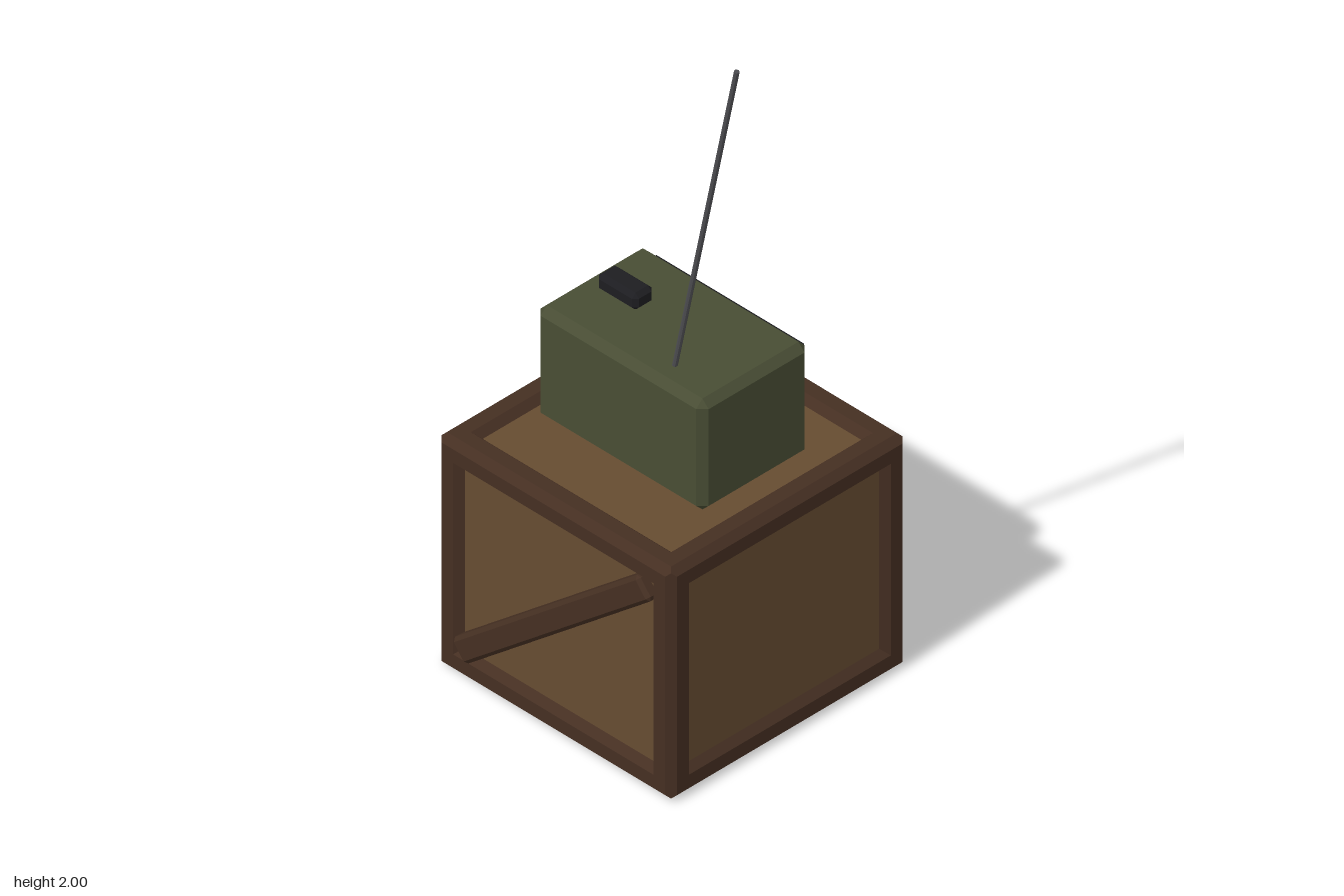
import * as THREE from 'three';
import { ConvexGeometry } from 'three/addons/geometries/ConvexGeometry.js';

const mat = (color) => new THREE.MeshStandardMaterial({ color, flatShading: true });
const frameMat = mat(0x452f22);
const panelMat = mat(0x664c31);
const bodyMat = mat(0x484d34);
const blackMat = mat(0x1d1d21);
const orangeMat = mat(0xb8742c);
const steelMat = mat(0x4c4c50);

function add(parent, name, geometry, material, x = 0, y = 0, z = 0) {
  const mesh = new THREE.Mesh(geometry, material);
  mesh.name = name;
  mesh.position.set(x, y, z);
  parent.add(mesh);
  return mesh;
}

// Box with every edge cut at 45 degrees by b
function chamferBox(w, h, d, b) {
  const pts = [];
  for (const sx of [-1, 1]) for (const sy of [-1, 1]) for (const sz of [-1, 1]) {
    for (let k = 0; k < 3; k++) {
      pts.push(new THREE.Vector3(
        sx * (w / 2 - (k === 0 ? 0 : b)),
        sy * (h / 2 - (k === 1 ? 0 : b)),
        sz * (d / 2 - (k === 2 ? 0 : b))));
    }
  }
  return new ConvexGeometry(pts);
}

// Nested rectangular rings facing +z; each step is [inset, level]
function ringGeometry(w, h, steps) {
  const signs = [[-1, -1], [1, -1], [1, 1], [-1, 1]];
  const corner = ([inset, level], i) => {
    const [sx, sy] = signs[i % 4];
    return [sx * (w / 2 - inset), sy * (h / 2 - inset), level];
  };
  const pos = [];
  for (let s = 0; s < steps.length - 1; s++) {
    for (let i = 0; i < 4; i++) {
      const a = corner(steps[s], i), b = corner(steps[s], i + 1);
      const c = corner(steps[s + 1], i + 1), d = corner(steps[s + 1], i);
      pos.push(...a, ...b, ...c, ...a, ...c, ...d);
    }
  }
  const g = new THREE.BufferGeometry();
  g.setAttribute('position', new THREE.Float32BufferAttribute(pos, 3));
  g.computeVertexNormals();
  return g;
}

// One crate side: half chamfer, flat frame, sloped recess and inner panel
function crateSide(name, w, h, dist) {
  const side = new THREE.Group();
  side.name = name;
  const depth = 0.02;
  add(side, 'crateFrame', ringGeometry(w, h, [[0.01, -0.01], [0.02, 0], [0.06, 0], [0.08, -depth]]),
    frameMat, 0, 0, dist);
  add(side, 'cratePanel', new THREE.PlaneGeometry(w - 0.16, h - 0.16), panelMat, 0, 0, dist - depth);
  return side;
}

function createCrate() {
  const crate = new THREE.Group();
  crate.name = 'crate';
  const W = 0.8, H = 0.69;
  ['Front', 'Left', 'Back', 'Right'].forEach((label, i) => {
    const side = crateSide('crate' + label, W, H, W / 2);
    side.rotation.y = i * Math.PI / 2;
    // Diagonal board on the front and back
    if (i % 2 === 0) {
      const brace = add(side, 'diagonalBrace', chamferBox(0.82, 0.072, 0.05, 0.01), frameMat, 0, 0, 0.387);
      brace.rotation.z = 0.69;
    }
    crate.add(side);
  });
  for (const s of [1, -1]) {
    const side = crateSide(s > 0 ? 'crateTop' : 'crateBottom', W, W, H / 2);
    side.rotation.x = -s * Math.PI / 2;
    crate.add(side);
  }
  crate.position.y = H / 2;
  return crate;
}

function createRadio() {
  const radio = new THREE.Group();
  radio.name = 'radio';
  add(radio, 'radioBody', chamferBox(0.57, 0.33, 0.365, 0.021), bodyMat, 0, 0.849, -0.002);
  add(radio, 'handle', chamferBox(0.136, 0.05, 0.066, 0.012), blackMat, -0.162, 1.035, -0.003);

  // Controls on the back panel
  add(radio, 'trimStrip', new THREE.BoxGeometry(0.5, 0.035, 0.02), blackMat, 0, 0.967, -0.186);
  add(radio, 'display', new THREE.BoxGeometry(0.165, 0.09, 0.02), orangeMat, 0.157, 0.833, -0.187);
  for (let i = 0; i < 4; i++) {
    add(radio, 'speakerSlat', new THREE.BoxGeometry(0.15, 0.013, 0.015), blackMat, 0.15, 0.773 - i * 0.025, -0.186);
  }
  for (const x of [-0.173, -0.058]) {
    const dial = add(radio, 'dial', new THREE.CylinderGeometry(0.038, 0.038, 0.035, 12), blackMat, x, 0.81, -0.195);
    dial.rotation.x = Math.PI / 2;
  }

  // Tilted antenna
  const base = new THREE.Vector3(0.12, 1.0, 0.112);
  const tip = new THREE.Vector3(0.333, 1.9985, 0.112);
  const antenna = add(radio, 'antenna', new THREE.CylinderGeometry(0.007, 0.007, base.distanceTo(tip), 8), steelMat);
  antenna.position.copy(base).lerp(tip, 0.5);
  antenna.rotation.z = -Math.atan2(tip.x - base.x, tip.y - base.y);
  return radio;
}

export function createModel() {
  const model = new THREE.Group();
  model.name = 'radioOnCrate';
  model.add(createCrate(), createRadio());
  return model;
}
